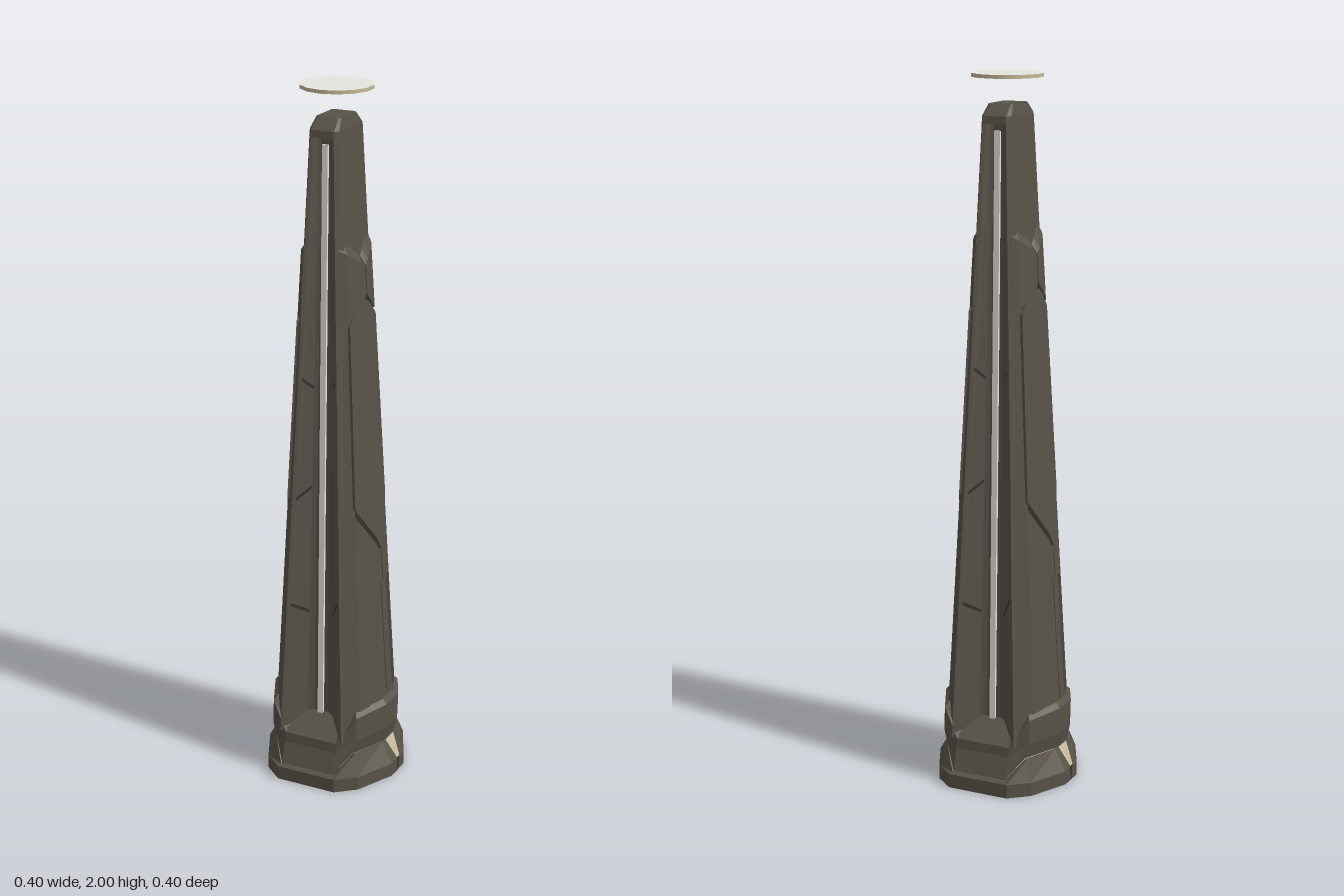
import * as THREE from 'three';

const stone = new THREE.MeshStandardMaterial({ color: 0x585348 });
stone.name = 'dark stone';
const seam = new THREE.MeshStandardMaterial({ color: 0x36332b });
seam.name = 'seam grey';
const white = new THREE.MeshStandardMaterial({ color: 0xf0eee7 });
white.name = 'pale light';
const tan = new THREE.MeshStandardMaterial({ color: 0xc8ba9a });
tan.name = 'tan inlay';

const lerp = THREE.MathUtils.lerp;
const mixPoint = (a, b, t) => a.map((v, i) => lerp(v, b[i], t));

// Faceted mesh from a list of triangles
function facetMesh(name, tris, material) {
  const g = new THREE.BufferGeometry();
  g.setAttribute('position', new THREE.Float32BufferAttribute(tris.flat(2), 3));
  g.computeVertexNormals();
  const m = new THREE.Mesh(g, material);
  m.name = name;
  return m;
}
const quad = (out, a, b, c, d) => out.push([a, b, c], [a, c, d]);

// Mirror a quarter section (front to side) into a whole ring
function ring(q) {
  const flip = (sx, sz) => q.map(([x, y, z]) => [x * sx, y, z * sz]);
  return [...flip(1, 1), ...flip(1, -1).reverse(), ...flip(-1, -1), ...flip(-1, 1).reverse()];
}

// Skin a stack of quarter sections and close both ends
function loft(name, sections, material) {
  const rings = sections.map(ring), tris = [], n = rings[0].length;
  const mid = r => [0, r.reduce((s, p) => s + p[1], 0) / n, 0];
  const last = rings[rings.length - 1];
  for (let i = 0; i < n; i++) {
    const j = (i + 1) % n;
    for (let k = 0; k + 1 < rings.length; k++) {
      quad(tris, rings[k][i], rings[k][j], rings[k + 1][j], rings[k + 1][i]);
    }
    tris.push([mid(last), last[i], last[j]], [mid(rings[0]), rings[0][j], rings[0][i]]);
  }
  return facetMesh(name, tris, material);
}

// Tapering outline of the armour: side centre, side edge, chamfer, front edge
const LOW = [[0.17, 0], [0.17, 0.03], [0.133, 0.115], [0.097, 0.156]];
const HIGH = [[0.085, 0], [0.085, 0.02], [0.07, 0.075], [0.052, 0.095]];
function armour(u, y) {
  const t = (y - 0.24) / 1.3, a = Math.abs(u), i = Math.min(2, Math.floor(a));
  const [x, z] = mixPoint(mixPoint(LOW[i], HIGH[i], t), mixPoint(LOW[i + 1], HIGH[i + 1], t), a - i);
  return [x, y, u < 0 ? -z : z];
}

// Curved plate on the +x side; columns are [u, bottom, top], front to back
function plate(name, cols, material, { lift = 0, rise = 0 } = {}) {
  const out = (u, y) => { const [x, h, z] = armour(u, y); return [x + lift, h, z]; };
  const sink = ([x, y, z], dy) => [x * 0.8, y + dy, z * 0.85];
  const bo = cols.map(c => out(c[0], c[1])), to = cols.map(c => out(c[0], c[2]));
  const bi = bo.map(p => sink(p, 0)), ti = to.map(p => sink(p, rise));
  const tris = [], n = cols.length - 1;
  for (let i = 0; i < n; i++) {
    const j = i + 1;
    quad(tris, bo[i], bo[j], to[j], to[i]);
    quad(tris, to[i], to[j], ti[j], ti[i]);
    quad(tris, bi[i], bi[j], bo[j], bo[i]);
  }
  quad(tris, bi[0], bo[0], to[0], ti[0]);
  quad(tris, bo[n], bi[n], ti[n], to[n]);
  return facetMesh(name, tris, material);
}
const mirrored = cols => cols.map(([u, b, t]) => [-u, b, t]).reverse();

// Armour of one broad side
function sideArmour() {
  const g = new THREE.Group();
  const border = [[3, 0.18, 0.85], [2, 0.22, 0.82], [1.6, 0.22, 0.78]];
  const chevron = [[1.6, 0.58, 0.78], [1.4, 0.6, 0.76], [1, 0.602, 0.72], [0.08, 0.602, 0.675]];
  const recess = [[1.6, 0.2, 0.61], [1, 0.2, 0.61], [0.08, 0.2, 0.61]];
  const upper = [[3, 1.365, 1.575], [2, 1.375, 1.56], [1, 1.415, 1.53], [0.12, 1.435, 1.515]];
  const rail = [[3, 0.862, 1.355], [2, 0.835, 1.365]];
  for (const side of [c => c, mirrored]) {
    g.add(plate('lowerBorder', side(border), stone));
    g.add(plate('lowerChevron', side(chevron), stone));
    g.add(plate('recessedPanel', side(recess), stone, { lift: -0.007 }));
    g.add(plate('upperArmour', side(upper), stone, { rise: 0.025 }));
    g.add(plate('armourRail', side(rail), stone, { lift: -0.005 }));
  }
  const half = [[2, 0.84, 1.36], [1, 0.737, 1.4], [0, 0.695, 1.42]];
  g.add(plate('hexagonPanel', [...half, ...mirrored(half).slice(1)], stone, { lift: 0.002 }));

  // Tan wedge set into the foot
  const inlay = [];
  quad(inlay, [0.201, 0.045, 0.008], [0.201, 0.045, -0.008], [0.172, 0.105, -0.026], [0.172, 0.105, 0.026]);
  g.add(facetMesh('footInlay', inlay, tan));
  const gap = [];
  quad(gap, [0.2005, 0.001, 0.003], [0.2005, 0.001, -0.003], [0.2005, 0.045, -0.008], [0.2005, 0.045, 0.008]);
  g.add(facetMesh('footSeam', gap, seam));
  return g;
}

// Quarter section of the core: deep channel floor, step, slanted wall, front edge, side
const CORE_LOW = [[0.022, 0.098], [0.04, 0.106], [0.086, 0.156], [0.095, 0.165], [0.125, 0.11]];
const CORE_HIGH = [[0.013, 0.06], [0.02, 0.064], [0.026, 0.08], [0.034, 0.086], [0.044, 0.07]];
const coreSection = y => CORE_LOW.map((p, i) => {
  const [x, z] = mixPoint(p, CORE_HIGH[i], (y - 0.2) / 1.68);
  return [x, y, z];
});

// Light strip, sloping sill and wall seams of one channel
function channelDetails() {
  const g = new THREE.Group();
  const strip = new THREE.Mesh(new THREE.BoxGeometry(0.017, 1.66, 0.012), white);
  strip.name = 'lightStrip';
  strip.position.set(0, 1.02, 0.081);
  strip.rotation.x = -Math.atan(0.038 / 1.68);
  g.add(strip);

  const sill = [];
  quad(sill, [-0.09, 0.145, 0.16], [0.09, 0.145, 0.16], [0.038, 0.195, 0.1], [-0.038, 0.195, 0.1]);
  g.add(facetMesh('channelSill', sill, stone));

  // Each seam: side, inner height, outer height
  const lines = [];
  for (const [s, yIn, yOut] of [[1, 0.5, 0.56], [-1, 0.5, 0.53], [-1, 0.88, 0.85], [1, 1.17, 1.2], [-1, 1.17, 1.2], [1, 1.54, 1.56]]) {
    const at = (k, y) => { const [x, h, z] = coreSection(y)[k]; return [s * (x - 0.001), h, z + 0.0015]; };
    const c = [at(1, yIn), at(2, yOut), at(2, yOut + 0.01), at(1, yIn + 0.01)];
    quad(lines, ...(s > 0 ? c : c.reverse()));
  }
  g.add(facetMesh('channelSeams', lines, seam));
  return g;
}

export function createModel() {
  const model = new THREE.Group();
  model.name = 'obelisk';

  // Flared foot and the collar that dips at the front and back
  model.add(loft('foot', [
    [[0.09, 0, 0.2], [0.145, 0, 0.155], [0.2, 0, 0.04]],
    [[0.09, 0.04, 0.2], [0.145, 0.04, 0.155], [0.2, 0.04, 0.04]],
    [[0.085, 0.046, 0.19], [0.125, 0.1, 0.14], [0.166, 0.1, 0.035]],
  ], stone));
  model.add(loft('footGap', [
    [[0.075, 0.04, 0.18], [0.12, 0.08, 0.13], [0.16, 0.08, 0.035]],
    [[0.075, 0.12, 0.155], [0.12, 0.13, 0.13], [0.16, 0.13, 0.035]],
  ], tan));
  model.add(loft('collar', [
    [[0.08, 0.05, 0.192], [0.122, 0.106, 0.145], [0.168, 0.106, 0.037]],
    [[0.082, 0.11, 0.169], [0.133, 0.15, 0.145], [0.178, 0.15, 0.04]],
    [[0.082, 0.138, 0.166], [0.133, 0.218, 0.14], [0.18, 0.228, 0.04]],
    [[0.076, 0.146, 0.155], [0.125, 0.23, 0.128], [0.168, 0.242, 0.035]],
  ], stone));

  // Tall core with a deep channel down its front and back
  model.add(loft('core', [coreSection(0.14), coreSection(1.88)], stone));
  model.add(loft('crown', [
    [[0.034, 1.87, 0.086], [0.044, 1.87, 0.072]],
    [[0.034, 1.89, 0.083], [0.043, 1.89, 0.07]],
    [[0.03, 1.92, 0.05], [0.036, 1.92, 0.045]],
  ], stone));

  // Dark backing seen in the gaps between armour plates
  const backing = y => {
    const [p1, p2, p3] = [1, 2, 3].map(u => armour(u, y)).map(([x, h, z]) => [x - 0.013, h, z - 0.01]);
    return [[0.015, y, p3[2] * 0.48], p3, p2, p1];
  };
  model.add(loft('seamBacking', [backing(0.2), backing(1.5)], seam));

  // Matching halves
  for (const turn of [0, Math.PI]) {
    const side = sideArmour();
    side.name = turn ? 'rightArmour' : 'leftArmour';
    const face = channelDetails();
    face.name = turn ? 'backChannel' : 'frontChannel';
    side.rotation.y = face.rotation.y = turn;
    model.add(side, face);
  }

  // Floating disc with a pale upper face
  const disc = new THREE.Mesh(new THREE.CylinderGeometry(0.1, 0.1, 0.01, 14), [tan, white, stone]);
  disc.name = 'floatingDisc';
  disc.position.set(0, 1.995, -0.004);
  model.add(disc);
  return model;
}
